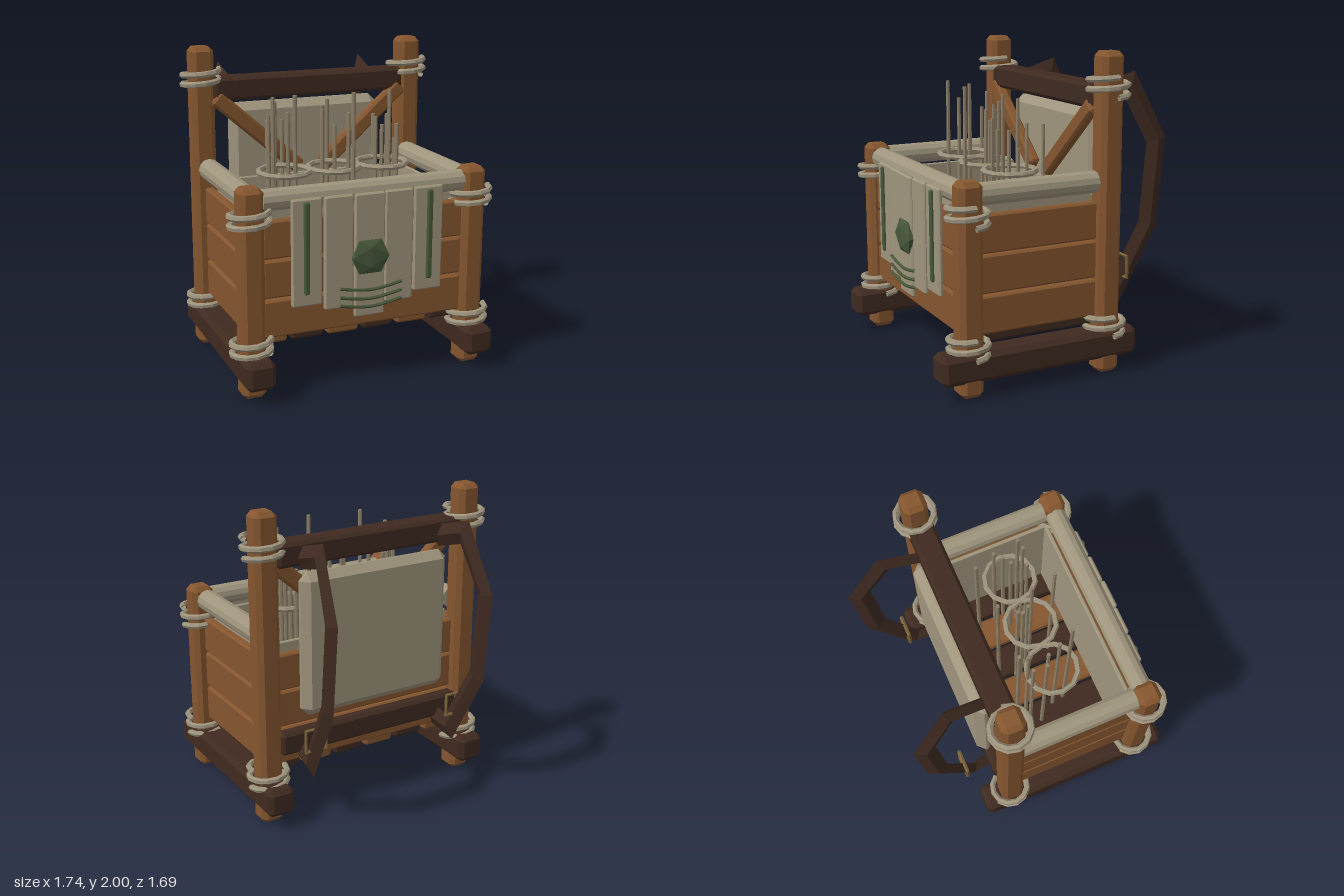
import * as THREE from 'three';
import { ConvexGeometry } from 'three/addons/geometries/ConvexGeometry.js';

const mat = (color) => new THREE.MeshStandardMaterial({ color, flatShading: true });
const WOOD = mat(0x85562f), DARK = mat(0x3f2a20), CLOTH = mat(0x9f957d);
const ROPE = mat(0x9c927c), GREEN = mat(0x46583a), BRASS = mat(0x7a6238), ROD = mat(0x8c7f68);

// Box with chamfered edges
function chamferBox(w, h, d, c) {
  const pts = [];
  for (const x of [-w / 2, w / 2]) for (const y of [-h / 2, h / 2]) for (const z of [-d / 2, d / 2]) {
    const [a, b, e] = [x - Math.sign(x) * c, y - Math.sign(y) * c, z - Math.sign(z) * c];
    pts.push(new THREE.Vector3(x, b, e), new THREE.Vector3(a, y, e), new THREE.Vector3(a, b, z));
  }
  return new ConvexGeometry(pts);
}

// Rope wound twice round a post
class Coil extends THREE.Curve {
  getPoint(t, target = new THREE.Vector3()) {
    const a = t * Math.PI * 4;
    return target.set(Math.cos(a) * 0.12, 0.06 - t * 0.12, Math.sin(a) * 0.12);
  }
}

// Carrying strap: diamond section swept along [x, y, z] points, mitred at each bend
function strapGeometry(path, halfWidth, halfDepth) {
  const pos = [], idx = [];
  const dir = (i) => new THREE.Vector2(path[i + 1][2] - path[i][2], path[i + 1][1] - path[i][1]).normalize();
  const last = path.length - 1;
  path.forEach(([x, y, z], i) => {
    const a = dir(Math.max(i - 1, 0)), b = dir(Math.min(i, last - 1));
    const t = a.clone().add(b).normalize();
    const r = halfDepth / t.dot(a);
    const nz = t.y * r, ny = -t.x * r;
    pos.push(x, y + ny, z + nz, x + halfWidth, y, z, x, y - ny, z - nz, x - halfWidth, y, z);
    if (i === last) return;
    for (let j = 0; j < 4; j++) {
      const p = i * 4 + j, q = i * 4 + (j + 1) % 4;
      idx.push(p, q, p + 4, q, q + 4, p + 4);
    }
  });
  const e = last * 4;
  idx.push(0, 2, 1, 0, 3, 2, e, e + 1, e + 2, e, e + 2, e + 3);
  const g = new THREE.BufferGeometry();
  g.setAttribute('position', new THREE.Float32BufferAttribute(pos, 3));
  g.setIndex(idx);
  g.computeVertexNormals();
  return g;
}

export function createModel() {
  const model = new THREE.Group();
  model.name = 'backpackBasket';

  const add = (name, geometry, material, x, y, z) => {
    const m = new THREE.Mesh(geometry, material);
    m.name = name;
    m.position.set(x, y, z);
    model.add(m);
    return m;
  };
  const box = (name, material, w, h, d, x, y, z, c = 0.012) =>
    add(name, chamferBox(w, h, d, c), material, x, y, z);

  const coil = new THREE.TubeGeometry(new Coil(), 24, 0.02, 6, false);
  const strapPath = [[0.5, 1.69, -0.33], [0.515, 1.765, -0.59], [0.55, 1.405, -0.775],
    [0.55, 0.855, -0.725], [0.53, 0.41, -0.485], [0.51, 0.44, -0.34]];
  const strap = strapGeometry(strapPath, 0.035, 0.07);
  ROPE.side = THREE.DoubleSide;

  for (const s of [-1, 1]) {
    // Frame posts, runners and rope bindings
    box('backPost', WOOD, 0.15, 2, 0.15, s * 0.73, 1, -0.295, 0.03);
    box('frontPost', WOOD, 0.15, 1.3, 0.15, s * 0.73, 0.65, 0.64, 0.03);
    box('runner', DARK, 0.185, 0.18, 1.33, s * 0.73, 0.19, 0.175, 0.03);
    for (const [y, z] of [[1.79, -0.295], [0.31, -0.295], [1.1, 0.64], [0.31, 0.64]])
      add('ropeBinding', coil, ROPE, s * 0.73, y, z);

    // Diagonal braces
    const brace = box('brace', WOOD, 0.76, 0.1, 0.07, s * 0.37, 1.425, -0.235, 0.015);
    brace.rotation.z = s * 0.72;

    // Side lining and rolled cloth edge
    box('sideLining', CLOTH, 0.025, 0.77, 0.8, s * 0.645, 0.755, 0.17, 0.005);
    const roll = add('sideRoll', new THREE.CylinderGeometry(0.07, 0.07, 0.79, 12), CLOTH, s * 0.71, 1.21, 0.17);
    roll.rotation.x = Math.PI / 2;

    // Straps and square buckles
    add('shoulderStrap', strap, DARK, 0, 0, 0).scale.x = s;
    const buckle = add('buckle', new THREE.TorusGeometry(0.1, 0.013, 5, 4), BRASS, s * 0.525, 0.6, -0.545);
    buckle.rotation.z = Math.PI / 4;

    // Green strips on the outer front panels
    box('greenStrip', GREEN, 0.036, 0.57, 0.024, s * 0.405, 0.91, 0.725, 0.008);
  }

  // Wall planks
  for (const y of [0.48, 0.728, 0.972]) {
    box('frontPlank', WOOD, 1.32, 0.235, 0.06, 0, y, 0.645);
    box('backPlank', WOOD, 1.32, 0.235, 0.06, 0, y, -0.275);
    for (const s of [-1, 1]) box('sidePlank', WOOD, 0.06, 0.235, 0.8, s * 0.71, y, 0.17);
  }

  // Floor slats in alternating wood
  for (let i = 0; i < 6; i++)
    box('floorSlat', i % 2 ? DARK : WOOD, 0.212, 0.075, 0.87, (i - 2.5) * 0.2365, 0.335, 0.17, 0.015);

  // Lining and front roll
  box('frontLining', CLOTH, 1.28, 0.77, 0.025, 0, 0.755, 0.56, 0.005);
  box('backLining', CLOTH, 1.28, 0.77, 0.025, 0, 0.755, -0.215, 0.005);
  add('frontRoll', new THREE.CylinderGeometry(0.068, 0.068, 1.32, 12), CLOTH, 0, 1.21, 0.635).rotation.z = Math.PI / 2;

  // Back beams and padded back rest
  box('upperBeam', DARK, 1.33, 0.15, 0.16, 0, 1.725, -0.29, 0.02);
  box('lowerBeam', DARK, 1.33, 0.15, 0.13, 0, 0.515, -0.31, 0.02);
  box('backPad', CLOTH, 1.06, 0.92, 0.115, 0, 1.15, -0.368, 0.05);

  // Overlapping cloth panels on the front
  for (const [x, w, bottom, z] of [[0, 0.2, 0.44, 0.722], [0.198, 0.19, 0.51, 0.714], [0.4, 0.195, 0.55, 0.706]])
    for (const s of x ? [-1, 1] : [1])
      box('frontPanel', CLOTH, w, 1.215 - bottom, 0.028, s * x, (1.215 + bottom) / 2, z, 0.01);

  // Green stone and three curved cords
  const stone = add('greenStone', new THREE.IcosahedronGeometry(0.13, 0), GREEN, 0, 0.82, 0.74);
  stone.scale.set(1.08, 0.95, 0.24);
  for (const y of [0.613, 0.557, 0.505]) {
    const cord = new THREE.CatmullRomCurve3([[-0.205, 0.03], [-0.1, 0.01], [0, 0], [0.1, 0.01], [0.205, 0.03]]
      .map(([x, dy]) => new THREE.Vector3(x, dy, 0)));
    add('greenCord', new THREE.TubeGeometry(cord, 8, 0.01, 6), GREEN, 0, y, 0.752);
  }

  // Holder rings
  for (const x of [-0.335, 0, 0.335])
    add('holderRing', new THREE.TorusGeometry(0.165, 0.018, 6, 12), ROPE, x, 1.25, 0.165).rotation.x = Math.PI / 2;

  // Upright rods: [x, z, top]
  const rods = [
    [-0.41, 0.085, 1.6], [-0.385, 0.1, 1.71], [-0.39, 0.005, 1.55], [-0.335, -0.005, 1.66], [-0.275, -0.04, 1.54],
    [-0.325, 0.205, 1.63], [-0.31, 0.29, 1.75],
    [-0.035, 0.055, 1.63], [-0.045, 0.085, 1.61], [0.04, -0.045, 1.65], [0.015, 0.145, 1.52], [0.085, 0.205, 1.6],
    [0.06, 0.34, 1.75],
    [0.375, -0.05, 1.53], [0.41, 0.085, 1.55], [0.335, 0.17, 1.5], [0.43, 0.155, 1.4], [0.36, 0.225, 1.73],
    [0.255, 0.245, 1.57], [0.39, 0.275, 1.52]];
  for (const [x, z, top] of rods)
    add('rod', new THREE.CylinderGeometry(0.013, 0.015, top - 0.45, 6), ROD, x, (top + 0.45) / 2, z);

  return model;
}
